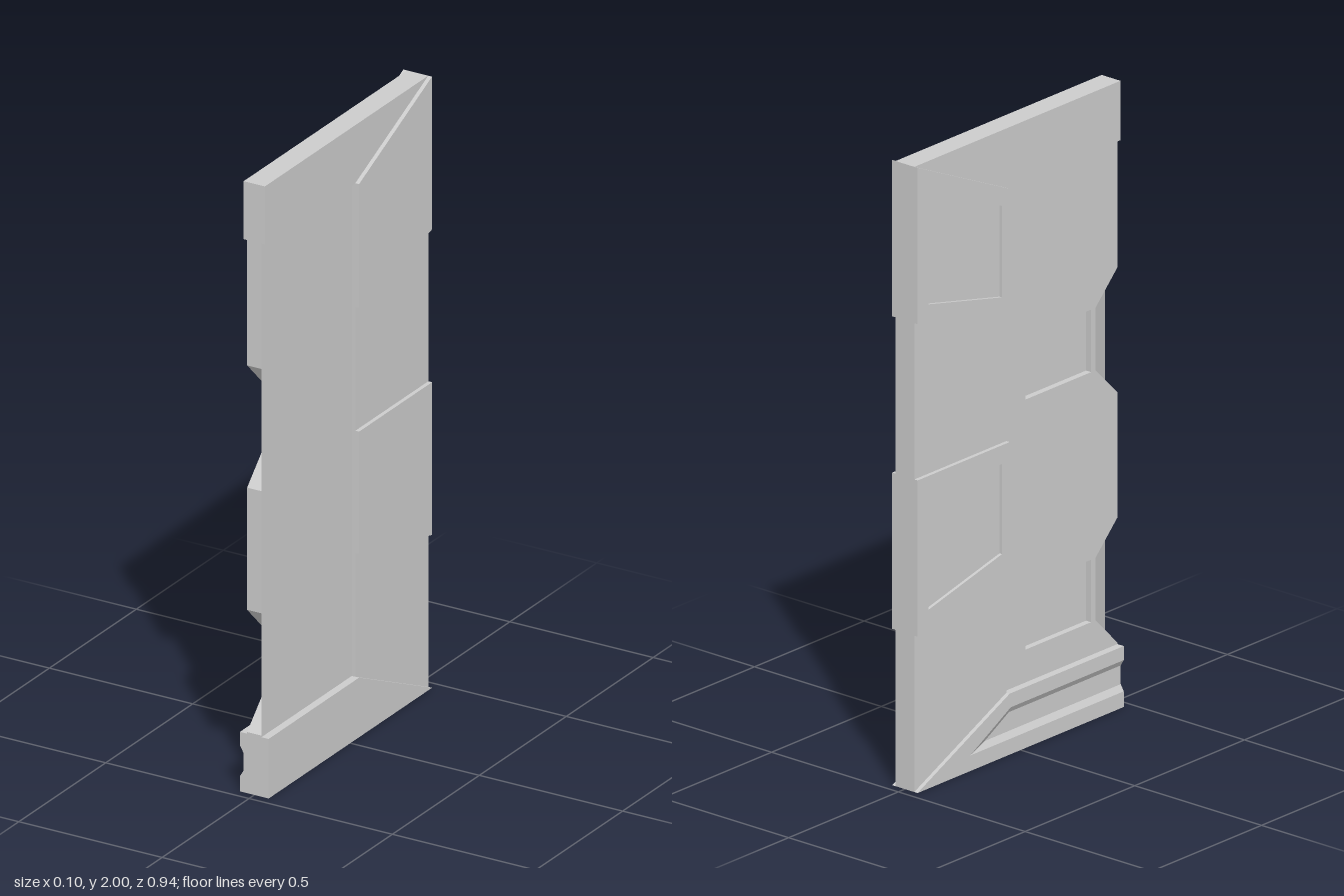
import * as THREE from 'three';

const V = pts => pts.map(([z, y]) => new THREE.Vector2(-z, y));

// Solid lofted along x from outline lo (at x0) to outline hi (at x1).
// Outlines are [z, y] corners; holes run straight through.
function loft(name, x0, lo, x1, hi = lo, holes = []) {
  let a = V(lo), b = V(hi);
  if (THREE.ShapeUtils.isClockWise(a)) { a.reverse(); b.reverse(); }
  const h = holes.map(p => {
    const v = V(p);
    return THREE.ShapeUtils.isClockWise(v) ? v : v.reverse();
  });
  const pos = [];
  const put = (x, ...vs) => vs.forEach(v => pos.push(x, v.y, -v.x));
  // end caps
  for (const [x, ring, dir] of [[x0, a, -1], [x1, b, 1]]) {
    const all = [...ring, ...h.flat()];
    for (const f of THREE.ShapeUtils.triangulateShape([...ring], h.map(r => [...r]))) {
      const [p, q, r] = f.map(i => all[i]);
      const area = (q.x - p.x) * (r.y - p.y) - (q.y - p.y) * (r.x - p.x);
      if (Math.abs(area) < 1e-9) continue;
      area * dir > 0 ? put(x, p, q, r) : put(x, p, r, q);
    }
  }
  // side walls
  for (const [l, u] of [[a, b], ...h.map(r => [r, r])]) {
    l.forEach((p, i) => {
      const j = (i + 1) % l.length;
      if (p.distanceTo(l[j]) > 1e-6) { put(x0, p, l[j]); put(x1, u[j]); }
      if (u[i].distanceTo(u[j]) > 1e-6) { put(x0, p); put(x1, u[j], u[i]); }
    });
  }
  const g = new THREE.BufferGeometry();
  g.setAttribute('position', new THREE.Float32BufferAttribute(pos, 3));
  g.computeVertexNormals();
  const m = new THREE.Mesh(g, new THREE.MeshStandardMaterial({ color: 0xcccccc, flatShading: true }));
  m.name = name;
  return m;
}

const rect = (z0, z1, y0, y1) => [[z0, y0], [z1, y0], [z1, y1], [z0, y1]];

export function createModel() {
  const model = new THREE.Group();
  model.name = 'wallPanel';
  const B = -0.47, M = -0.05, F = 0.47; // back edge, middle seam, front edge
  const thick = 0.05, mid = 0.037, thin = 0.025;

  // top beam with mitred back end
  model.add(loft('topBeam', -mid, [[B, 2], [M, 1.81], [F, 1.81], [F, 2]], mid));

  // bottom beam, grooved along one side
  const beam = [[B, 0], [F, 0], [F, 0.195], [M, 0.195]];
  const grooved = (y0, z0, z1, y1) =>
    [[B, 0], [F, 0], [F, y0], [z0, y0], [z1, y1], [F, y1], [F, 0.195], [M, 0.195]];
  model.add(loft('bottomBeam', -0.038, beam, thick));
  model.add(loft('bottomBeamGroove', -thick, grooved(0.05, -0.23, -0.045, 0.15),
    -0.038, grooved(0.07, -0.15, -0.04, 0.13)));

  // back panels: alternately raised (framed on one side) and flush
  const raised = [
    ['upper', 2, 1.5, 1.81, 1.405],
    ['lower', 1, 0.5, 1, 0.6],
  ];
  for (const [n, tb, bb, tm, bm] of raised) {
    const outline = [[B, bb], [M, bm], [M, tm], [B, tb]];
    const at = (b, m, z) => b + (m - b) * (z - B) / (M - B);
    const z0 = B + 0.05, z1 = M - 0.035, e = 0.06;
    const inset = [[z0, at(bb, bm, z0) + e], [z1, at(bb, bm, z1) + e],
      [z1, at(tb, tm, z1) - e], [z0, at(tb, tm, z0) - e]];
    model.add(loft(n + 'RaisedPanel', -thick + 0.01, outline, thick));
    model.add(loft(n + 'RaisedPanelFrame', -thick, outline, -thick + 0.01, outline, [inset]));
  }
  model.add(loft('upperFlushPanel', -mid, [[B, 1], [M, 1], [M, 1.405], [B, 1.5]], mid));
  model.add(loft('lowerFlushPanel', -mid, [[B, 0], [M, 0.195], [M, 0.6], [B, 0.5]], mid));

  // front panel: two bevelled cuts in the front edge, a pocket beside each
  const edge = cut => {
    const pts = [[M, 0.195], [F, 0.195]];
    for (const y of [0.2, 1]) {
      pts.push([F, y], [F - cut, y + cut], [F - cut, y + 0.4 - cut], [F, y + 0.4]);
    }
    return [...pts, [F, 1.81], [M, 1.81]];
  };
  const pockets = [0.3, 1.1].map(y => rect(0.05, 0.35, y, y + 0.2));
  model.add(loft('frontPanel', -0.005, edge(0.06), thin, edge(0)));
  model.add(loft('frontPanelPockets', -thin, edge(0.1), -0.005, edge(0.06), pockets));

  return model;
}
